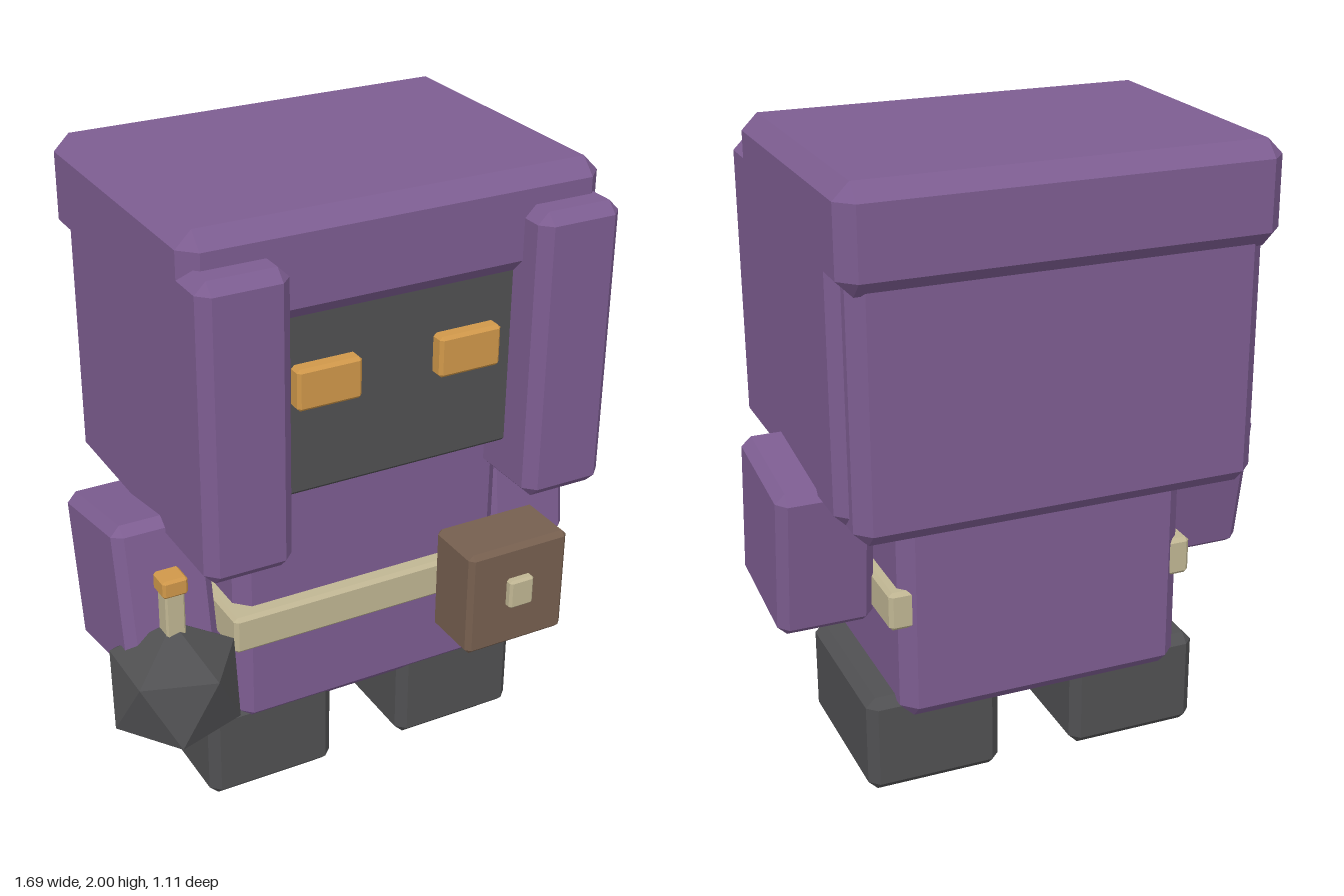
import * as THREE from 'three';
import { ConvexGeometry } from 'three/addons/geometries/ConvexGeometry.js';

function material(name, color) {
  const m = new THREE.MeshStandardMaterial({ color });
  m.name = name;
  return m;
}

// Box with chamfered edges, centred on the origin
function chamferBox(w, h, d, c) {
  const points = [];
  for (const sx of [-1, 1]) for (const sy of [-1, 1]) for (const sz of [-1, 1]) {
    const x = w / 2, y = h / 2, z = d / 2;
    points.push(
      new THREE.Vector3(sx * x, sy * (y - c), sz * (z - c)),
      new THREE.Vector3(sx * (x - c), sy * y, sz * (z - c)),
      new THREE.Vector3(sx * (x - c), sy * (y - c), sz * z));
  }
  return new ConvexGeometry(points);
}

export function createModel() {
  const group = new THREE.Group();
  const purple = material('purple cloth', 0x7d5d91);
  const dark = material('dark grey', 0x505052);
  const orange = material('orange', 0xd0984a);
  const tan = material('pale tan', 0xc0b693);
  const brown = material('brown leather', 0x765f4f);

  // Adds a chamfered box given its extents on each axis
  function block(name, mat, [x0, x1], [y0, y1], [z0, z1], chamfer, tilt = 0) {
    const mesh = new THREE.Mesh(chamferBox(x1 - x0, y1 - y0, z1 - z0, chamfer), mat);
    mesh.name = name;
    mesh.position.set((x0 + x1) / 2, (y0 + y1) / 2, (z0 + z1) / 2);
    mesh.rotation.x = tilt;
    group.add(mesh);
    return mesh;
  }

  // The body's centre line; the held mace pushes it off x = 0
  const cx = 0.055;

  // Torso and head
  block('torso', purple, [cx - 0.465, cx + 0.465], [0.265, 1.12], [-0.38, 0.28], 0.045);
  block('face', dark, [cx - 0.45, cx + 0.45], [1.125, 1.76], [-0.3, 0.385], 0.012);

  // Hood
  block('hoodTop', purple, [cx - 0.67, cx + 0.67], [1.685, 2], [-0.555, 0.43], 0.05);
  block('hoodBack', purple, [cx - 0.635, cx + 0.635], [0.935, 1.76], [-0.515, -0.26], 0.045);

  // Mirrored parts
  for (const [side, s] of [['left', 1], ['right', -1]]) {
    const span = (a, b) => (s > 0 ? [cx + a, cx + b] : [cx - b, cx - a]);
    block(side + 'HoodSide', purple, span(0.393, 0.67), [0.98, 1.9], [-0.44, 0.53], 0.035);
    block(side + 'Eye', orange, span(0.128, 0.335), [1.415, 1.545], [0.35, 0.43], 0.01);
    block(side + 'Foot', dark, span(0.125, 0.56), [0, 0.325], [-0.32, 0.26], 0.03);
  }

  // Arms, swung forward by different amounts
  block('leftArm', purple, [0.55, 0.85], [0.565, 1.055], [-0.245, 0.175], 0.03, -0.12);
  block('rightArm', purple, [-0.775, -0.478], [0.537, 1.027], [-0.15, 0.27], 0.03, -0.18);

  // Belt, pouch and clasp
  block('belt', tan, [-0.445, 0.555], [0.585, 0.71], [-0.37, 0.33], 0.012);
  block('pouch', brown, [0.26, 0.618], [0.47, 0.83], [0.315, 0.525], 0.016);
  block('pouchClasp', tan, [0.395, 0.482], [0.618, 0.718], [0.49, 0.55], 0.008);

  // Mace hanging head down from the right hand
  const mx = -0.646, mz = 0.326;
  block('maceHandle', tan, [mx - 0.031, mx + 0.031], [0.5, 0.89], [mz - 0.031, mz + 0.031], 0.006);
  block('macePommel', orange, [mx - 0.04, mx + 0.04], [0.878, 0.936], [mz - 0.04, mz + 0.04], 0.008);
  const maceHead = new THREE.Mesh(
    new THREE.IcosahedronGeometry(0.22).rotateZ(-Math.atan(2 / (1 + Math.sqrt(5)))), dark);
  maceHead.name = 'maceHead';
  maceHead.position.set(mx, 0.55, mz);
  group.add(maceHead);

  return group;
}
